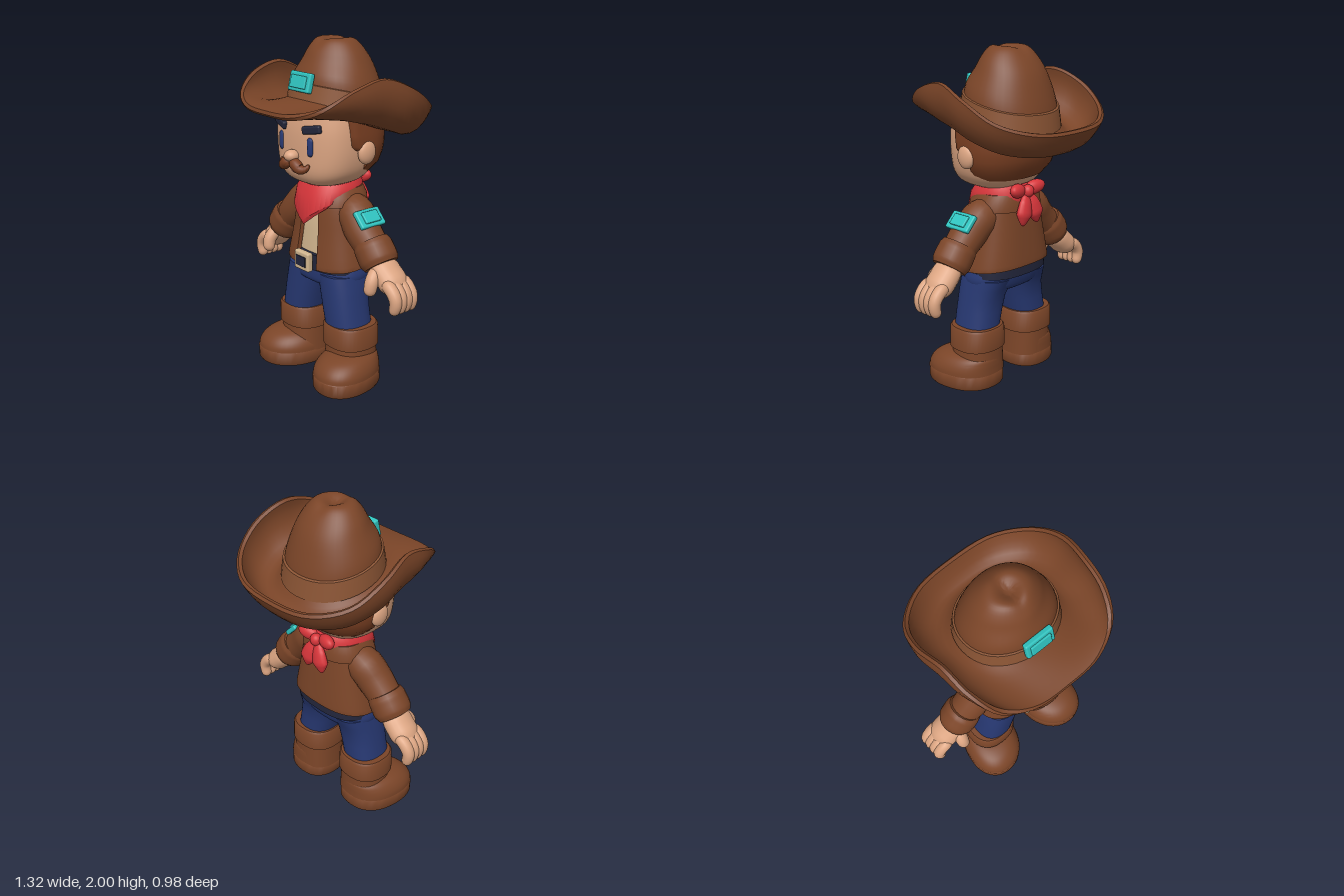
import * as THREE from 'three';
import { toCreasedNormals } from 'three/addons/utils/BufferGeometryUtils.js';
import { RoundedBoxGeometry } from 'three/addons/geometries/RoundedBoxGeometry.js';

const V = (x, y, z) => new THREE.Vector3(x, y, z);
const mat = (name, color) => Object.assign(new THREE.MeshStandardMaterial({ color }), { name });
const N = 40;

// Closed surface through equal-length loops of points; wrap joins last loop to first.
function loft(loops, wrap = false) {
  const n = loops[0].length, m = loops.length, pos = loops.flat(), idx = [];
  for (let j = 0; j < (wrap ? m : m - 1); j++) for (let i = 0; i < n; i++) {
    const a = j * n + i, b = j * n + (i + 1) % n;
    const c = ((j + 1) % m) * n + i, d = ((j + 1) % m) * n + (i + 1) % n;
    idx.push(a, b, d, a, d, c);
  }
  if (!wrap) for (const j of [0, m - 1]) {
    const mid = loops[j].reduce((s, p) => s.add(p), V(0, 0, 0)).divideScalar(n);
    const k = pos.push(mid) - 1;
    for (let i = 0; i < n; i++) {
      const a = j * n + i, b = j * n + (i + 1) % n;
      idx.push(...(j ? [k, a, b] : [k, b, a]));
    }
  }
  // turn the faces outward
  let vol = 0;
  for (let i = 0; i < idx.length; i += 3)
    vol += pos[idx[i]].dot(V(0, 0, 0).crossVectors(pos[idx[i + 1]], pos[idx[i + 2]]));
  if (vol < 0) idx.reverse();
  const g = new THREE.BufferGeometry().setFromPoints(pos);
  g.setIndex(idx);
  return toCreasedNormals(g, 0.75);
}

// Point of a rounded horizontal section [y, half width, front z, back z, tilt].
const pw = (v, p) => Math.sign(v) * Math.abs(v) ** (2 / p);
function sectionPoint(a, [y, rx, zf, zb, tilt = 0], { cx = 0, zc, pf = 2.4, pb = 2.4, skew = 0 } = {}) {
  const s = Math.sin(a), c = Math.cos(a), p = c > 0 ? pf : pb, m = zc ?? (zf + zb) / 2;
  const z = m + (c > 0 ? zf - m : m - zb) * pw(c, p);
  return V(cx + rx * pw(s, p) + skew * z, y + tilt * z, z);
}
const section = (spec, o) => Array.from({ length: N }, (_, i) => sectionPoint(i / N * 2 * Math.PI, spec, o));
const body = (specs, o) => loft(specs.map(s => section(s, o)));

// Extra sections on a smooth curve between the given ones.
function dense(specs, k = 4) {
  const out = [], at = i => specs[Math.min(Math.max(i, 0), specs.length - 1)];
  for (let i = 0; i < specs.length - 1; i++) for (let j = 0; j < k; j++) {
    const t = j / k;
    out.push(specs[i].map((b, q) => {
      const a = at(i - 1)[q], c = at(i + 1)[q], d = at(i + 2)[q];
      return b + 0.5 * t * (c - a + t * (2 * a - 5 * b + 4 * c - d + t * (3 * (b - c) + d - a)));
    }));
  }
  return [...out, at(specs.length)];
}

// Round limb along a path; wide scales it in z, round closes the ends like a capsule.
function sweep(pts, radii, { wide = 1, round = true, steps = 18 } = {}) {
  const curve = new THREE.CatmullRomCurve3(pts.map(p => V(...p))), len = curve.getLength(), loops = [];
  for (let k = 0; k <= steps; k++) {
    const u = (1 - Math.cos(Math.PI * k / steps)) / 2, f = u * (radii.length - 1);
    const i = Math.min(Math.floor(f), radii.length - 2);
    let r = THREE.MathUtils.lerp(radii[i], radii[i + 1], f - i);
    if (round) r *= Math.max(0.03, Math.sqrt(1 - (1 - Math.min(Math.min(u, 1 - u) * len / r, 1)) ** 2));
    const c = curve.getPointAt(u), t = curve.getTangentAt(u);
    const b = V(0, 0, 1).addScaledVector(t, -t.z).normalize(), n = V(0, 0, 0).crossVectors(t, b);
    loops.push(Array.from({ length: 20 }, (_, q) => {
      const a = q / 20 * 2 * Math.PI;
      return c.clone().addScaledVector(n, r * Math.cos(a)).addScaledVector(b, r * wide * Math.sin(a));
    }));
  }
  return loft(loops);
}

export function createModel() {
  const model = new THREE.Group();
  model.name = 'cowboyFigure';
  const leather = mat('brownLeather', 0x7b4528), hairBrown = mat('hairBrown', 0x7a3f22), band = mat('bandBrown', 0x8a5434);
  const skin = mat('skin', 0xdca582), red = mat('redCloth', 0xd6353a), teal = mat('teal', 0x30c4c0);
  const denim = mat('denim', 0x273872), dark = mat('darkNavy', 0x22253a), cream = mat('cream', 0xd2b68f), lip = mat('lip', 0xb8695c);
  const add = (name, geo, m, p = [0, 0, 0], rot = [0, 0, 0]) => {
    const mesh = new THREE.Mesh(geo, m);
    mesh.name = name;
    mesh.position.set(...p);
    mesh.rotation.set(...rot);
    model.add(mesh);
    return mesh;
  };
  const ball = (name, m, p, r, rot) => add(name, new THREE.SphereGeometry(1, 24, 16), m, p, rot).scale.set(...r);
  const box = (name, m, size, p, rot) => add(name, new RoundedBoxGeometry(...size, 2, Math.min(...size) * 0.3), m, p, rot);

  // Head and hair
  add('head', body(dense([[1.185, 0.09, 0.17, -0.05, 0], [1.193, 0.15, 0.21, -0.09, 0], [1.222, 0.213, 0.255, -0.13, 0],
    [1.28, 0.262, 0.28, -0.17, 0], [1.38, 0.288, 0.286, -0.2, 0], [1.5, 0.295, 0.283, -0.21, 0.05], [1.585, 0.288, 0.262, -0.2, 0.22]]), { pf: 2.75 }), skin);
  add('hair', body([[1.235, 0.14, 0.01, -0.11], [1.26, 0.235, 0.01, -0.165], [1.32, 0.292, 0.01, -0.213], [1.38, 0.312, 0.015, -0.235],
    [1.42, 0.318, 0.11, -0.242], [1.44, 0.32, 0.13, -0.244], [1.5, 0.32, 0.14, -0.245], [1.57, 0.315, 0.15, -0.24, 0.22]],
  { zc: 0, pf: 6, pb: 2.2 }), hairBrown);
  add('neck', new THREE.CylinderGeometry(0.11, 0.12, 0.16, 24), skin, [0, 1.14, 0.03]);
  ball('nose', skin, [0, 1.368, 0.305], [0.043, 0.034, 0.046]);
  ball('lowerLip', lip, [0, 1.283, 0.283], [0.028, 0.016, 0.014]);

  // Hat crown, band and buckle
  const crownSpecs = dense([[1.59, 0.285, 0.25, -0.3, 0.26], [1.68, 0.277, 0.225, -0.285, 0.25], [1.76, 0.26, 0.208, -0.265, 0.21],
    [1.86, 0.215, 0.172, -0.222, 0.1], [1.93, 0.176, 0.14, -0.172, 0.04], [1.985, 0.125, 0.098, -0.12, 0.02],
    [1.998, 0.075, 0.06, -0.08, 0.02], [1.978, 0.02, 0.01, -0.03, 0]]);
  add('hatCrown', loft(crownSpecs.map(s => section(s, { pf: 2.1 - 0.3 * THREE.MathUtils.smoothstep(s[0], 1.76, 1.9), pb: 2.1 })
    .map(p => { // crease along the top
      if (p.y > 1.93) p.y -= 0.012 * Math.exp(-((p.x / 0.04) ** 2)) * (p.y - 1.93) / 0.06;
      return p;
    }))), leather);
  add('hatBand', body([[1.6, 0.285, 0.24, -0.3, 0.26], [1.605, 0.294, 0.25, -0.307, 0.26], [1.708, 0.283, 0.229, -0.29, 0.24],
    [1.713, 0.268, 0.215, -0.275, 0.24]], { pf: 2.1, pb: 2.1 }), band);
  box('hatBuckle', teal, [0.18, 0.11, 0.035], [0, 1.77, 0.232], [-0.25, 0, 0]);
  box('hatBuckleCentre', teal, [0.13, 0.07, 0.02], [0, 1.773, 0.25], [-0.25, 0, 0]);

  // Curled brim: edge from front to back, dipping between crown and edge
  const half = [[0, 1.64, 0.47], [0.2, 1.65, 0.455], [0.35, 1.695, 0.37], [0.427, 1.775, 0.22], [0.448, 1.815, 0.04],
    [0.47, 1.745, -0.15], [0.415, 1.645, -0.32], [0.25, 1.59, -0.445], [0, 1.575, -0.475]];
  const edge = new THREE.CatmullRomCurve3([...half, ...half.slice(1, -1).reverse().map(([x, y, z]) => [-x, y, z])].map(p => V(...p)), true);
  const ts = [0, 0.14, 0.28, 0.42, 0.55, 0.67, 0.78, 0.88, 0.95, 1], brim = [];
  for (let i = 0; i < 72; i++) {
    const a = i / 72 * 2 * Math.PI, outer = edge.getPoint(i / 72), along = edge.getTangent(i / 72), s2 = Math.sin(a) ** 2;
    const inner = sectionPoint(a, [1.615, 0.275, 0.24, -0.29, 0.26], { pf: 2.1, pb: 2.1 });
    const mid = inner.clone().lerp(outer, 0.5);
    mid.y = inner.y * 0.7 + outer.y * 0.3 - 0.045 * (1 - Math.cos(a)) - 0.03 * s2;
    const at = t => {
      const p = V(0, 0, 0).addScaledVector(inner, (1 - t) * (1 - 2 * t)).addScaledVector(mid, 4 * t * (1 - t)).addScaledVector(outer, t * (2 * t - 1));
      p.x += Math.sin(a) * s2 * 0.36 * t ** 3 * (1 - t);
      return p;
    };
    const under = (t, depth) => {
      const out = at(t + 0.01).sub(at(t - 0.01));
      return at(t).addScaledVector(out.cross(along).normalize(), -depth);
    };
    const lipPoint = under(1, 0.017).add(at(1).sub(at(0.95)).setLength(0.01));
    brim.push([...ts.map(at), lipPoint, ...ts.map(t => under(t, 0.034)).reverse()]);
  }
  add('hatBrim', loft(brim, true), leather);

  // Torso: shirt, open jacket, collar, belt
  add('shirt', body([[0.68, 0.24, 0.185, -0.13], [0.9, 0.21, 0.168, -0.12], [1.08, 0.17, 0.145, -0.1], [1.16, 0.1, 0.1, -0.06]]), cream);
  const coat = dense([[0.712, 0.283, 0.215, -0.172, -0.12], [0.74, 0.28, 0.215, -0.172, -0.12], [0.9, 0.245, 0.192, -0.16, -0.05],
    [1.05, 0.215, 0.178, -0.147, 0], [1.12, 0.19, 0.16, -0.14, 0], [1.165, 0.13, 0.12, -0.11, 0]], 3);
  const lining = coat.map(([y, rx, zf, zb, t]) => [y, rx - 0.022, zf - 0.022, zb + 0.022, t]).reverse();
  const panels = Array.from({ length: 61 }, (_, i) => {
    const a = 0.24 + i / 60 * (2 * Math.PI - 0.48);
    return [...coat, ...lining].map(s => sectionPoint(a, s, { pf: 2.6, pb: 2.6 }));
  });
  add('jacket', loft(panels), leather);
  add('collar', body([[1.065, 0.2, 0.17, -0.14], [1.068, 0.226, 0.195, -0.158], [1.12, 0.216, 0.18, -0.155], [1.165, 0.185, 0.15, -0.14], [1.17, 0.14, 0.1, -0.1]]), leather);
  add('belt', body([[0.675, 0.262, 0.203, -0.16], [0.77, 0.255, 0.203, -0.155]], { pf: 2.6, pb: 2.6 }), dark);
  box('beltBuckle', cream, [0.13, 0.115, 0.04], [0, 0.728, 0.23]);
  box('beltBuckleCentre', dark, [0.085, 0.062, 0.009], [0, 0.728, 0.25]);

  // Bandana with pointed front, bow and tails behind
  const point = (y, rx, zf, zb, drop, tilt) => section([y, rx, zf, zb, tilt], { pf: 2.1, pb: 2.1 }).map((p, i) => {
    const a = i / N * 2 * Math.PI;
    if (Math.cos(a) > 0) p.y -= drop * (1 - Math.abs(Math.sin(a)));
    return p;
  });
  add('bandana', loft([point(1.185, 0.13, 0.15, -0.1, 0, -0.12), point(1.205, 0.168, 0.188, -0.135, 0, -0.12), point(1.175, 0.187, 0.218, -0.155, 0.03, -0.1),
    point(1.12, 0.19, 0.24, -0.16, 0.13, -0.06), point(1.11, 0.186, 0.228, -0.155, 0.15, -0.05), point(1.11, 0.15, 0.19, -0.12, 0.13, -0.05)]), red);
  ball('bandanaKnot', red, [0, 1.18, -0.165], [0.036, 0.038, 0.035]);

  // Hips
  add('hips', body(dense([[0.7, 0.262, 0.19, -0.145], [0.65, 0.272, 0.192, -0.135], [0.6, 0.25, 0.185, -0.115], [0.575, 0.17, 0.15, -0.08]])), denim);

  // Everything that comes in pairs
  for (const s of [1, -1]) {
    const side = s > 0 ? 'left' : 'right', M = pts => pts.map(([x, y, z]) => [s * x, y, z]);
    add(side + 'Eye', sweep(M([[0.125, 1.377, 0.272], [0.125, 1.43, 0.273], [0.125, 1.487, 0.27]]), [0.021, 0.022, 0.021], { wide: 0.7 }), denim);
    box(side + 'Brow', dark, [0.125, 0.046, 0.04], [s * 0.135, 1.53, 0.265], [0, s * 0.28, s * 0.16]);
    ball(side + 'Ear', skin, [s * 0.308, 1.4, 0.022], [0.032, 0.068, 0.06]);
    add(side + 'Moustache', sweep(M([[-0.005, 1.33, 0.305], [0.04, 1.325, 0.31], [0.075, 1.302, 0.305], [0.105, 1.307, 0.293], [0.122, 1.333, 0.278]]),
      [0.022, 0.034, 0.032, 0.02, 0.008]), hairBrown);
    ball(side + 'BowLoop', red, [s * 0.07, 1.19, -0.15], [0.07, 0.042, 0.036], [0, s * 0.3, s * 0.2]);
    add(side + 'BandanaTail', sweep(M([[0.005, 1.17, -0.16], [0.04, 1.08, -0.178], [0.062, 0.985, -0.182]]), [0.02, 0.045, 0.056, 0.015], { wide: 0.6 }), red);

    // Arm and hand
    add(side + 'Sleeve', sweep(M([[0.11, 1.06, 0.005], [0.21, 1.025, 0.015], [0.29, 0.945, 0.03], [0.385, 0.855, 0.03]]), [0.09, 0.11, 0.105, 0.095], { round: false }), leather);
    add(side + 'Cuff', sweep(M([[0.36, 0.897, 0.03], [0.405, 0.837, 0.03], [0.448, 0.78, 0.03]]), [0.1, 0.112, 0.113, 0.114, 0.113, 0.1], { round: false }), leather);
    add(side + 'Palm', sweep(M([[0.42, 0.82, 0.03], [0.47, 0.76, 0.025], [0.53, 0.705, 0.02], [0.6, 0.645, 0.02]]), [0.065, 0.072, 0.072, 0.05], { wide: 1.3 }), skin);
    for (let f = 0; f < 4; f++) {
      const z = -0.038 + f * 0.04;
      add(side + 'Finger' + (f + 1), sweep(M([[0.53, 0.72, z], [0.592, 0.68, z], [0.621, 0.636, z], [0.618, 0.59, z], [0.6, 0.55, z]]),
        [0.036, 0.038, 0.037, 0.034, 0.03]), skin);
    }
    add(side + 'Thumb', sweep(M([[0.46, 0.775, 0.07], [0.474, 0.71, 0.125], [0.468, 0.63, 0.138]]), [0.04, 0.04, 0.034]), skin);

    // Leg and boot
    add(side + 'Leg', loft([[0.66, 0.13, 0.19, -0.13], [0.6, 0.13, 0.19, -0.105], [0.54, 0.127, 0.19, -0.082], [0.45, 0.124, 0.19, -0.075], [0.33, 0.12, 0.188, -0.075]]
      .map(r => section(r, { cx: s * (0.135 + (0.66 - r[0]) * 0.215) }))), denim);
    const o = { cx: s * 0.21 };
    add(side + 'BootCuff', body([[0.228, 0.14, 0.18, -0.09], [0.236, 0.157, 0.198, -0.105], [0.355, 0.152, 0.2, -0.105], [0.368, 0.143, 0.19, -0.095], [0.368, 0.12, 0.17, -0.07]], o), leather);
    add(side + 'BootShaft', body([[0.08, 0.15, 0.2, -0.1], [0.25, 0.138, 0.182, -0.095]], o), leather);
    const foot = { cx: s * 0.233, skew: s * 0.12, pf: 2.15 };
    add(side + 'BootFoot', body(dense([[0.08, 0.18, 0.332, -0.102], [0.115, 0.177, 0.326, -0.101], [0.15, 0.163, 0.303, -0.1], [0.18, 0.138, 0.262, -0.095], [0.2, 0.1, 0.2, -0.07], [0.205, 0.06, 0.14, -0.04]]), foot), leather);
    add(side + 'Sole', body([[0, 0.174, 0.325, -0.098], [0.012, 0.181, 0.333, -0.104], [0.082, 0.182, 0.335, -0.104], [0.088, 0.178, 0.33, -0.1]], foot), leather);
  }

  // Badge on the left sleeve
  box('sleeveBadge', teal, [0.03, 0.11, 0.175], [0.345, 1.03, 0.03], [0, 0, 0.76]);
  box('sleeveBadgeCentre', teal, [0.02, 0.07, 0.11], [0.358, 1.042, 0.03], [0, 0, 0.76]);
  return model;
}
